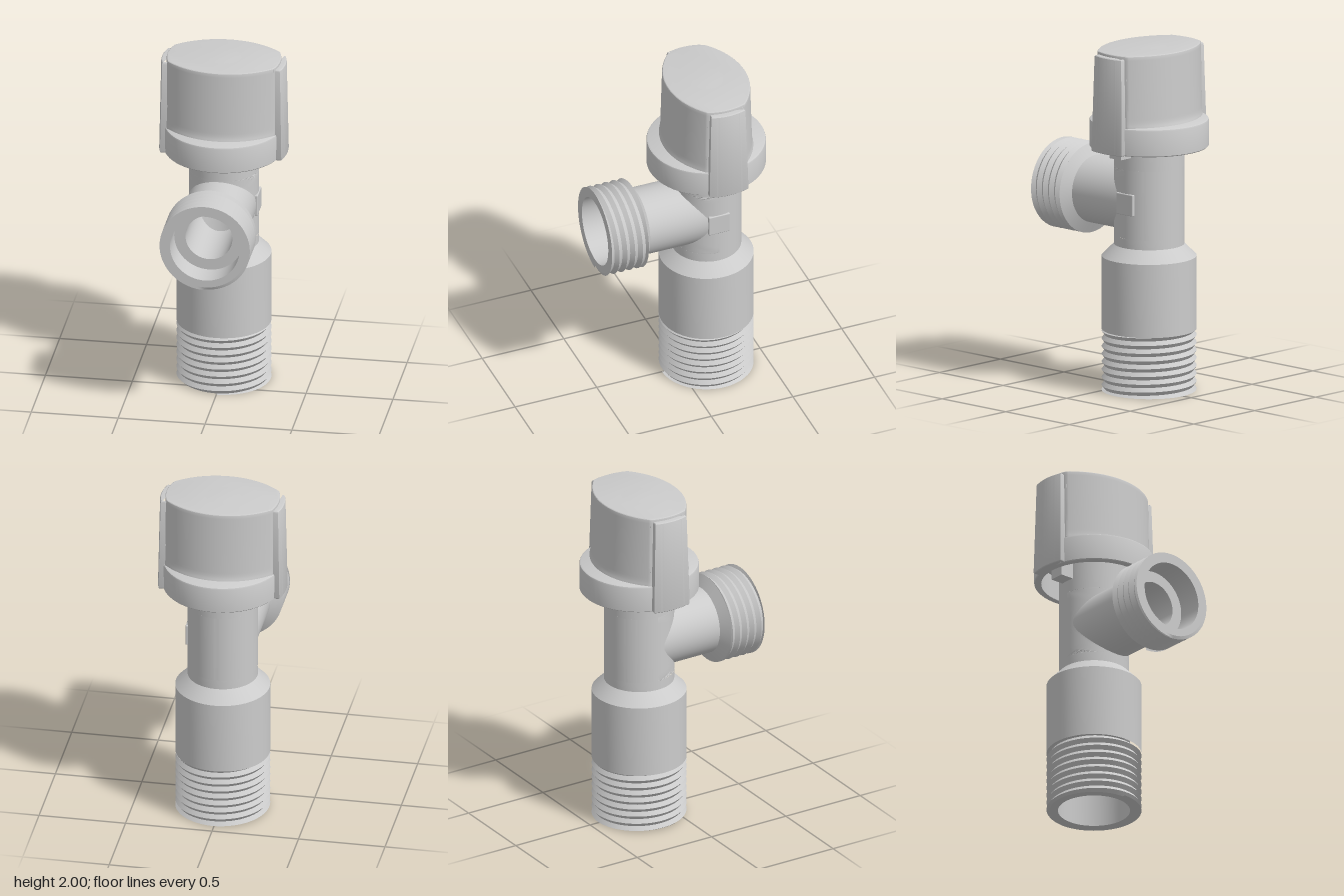
import * as THREE from 'three';
import { toCreasedNormals } from 'three/addons/utils/BufferGeometryUtils.js';
import { ParametricGeometry } from 'three/addons/geometries/ParametricGeometry.js';
import { RoundedBoxGeometry } from 'three/addons/geometries/RoundedBoxGeometry.js';

const AXIS_Z = -0.17;   // vertical axis of the valve
const PORT_Y = 1.105;   // height of the side outlet
const HALF = 0.2;       // half height of the body zone around the outlet
const SEG = 64;
const material = new THREE.MeshStandardMaterial({ color: 0xcccccc });

function add(parent, name, geometry, crease = 0.5) {
  const mesh = new THREE.Mesh(crease ? toCreasedNormals(geometry, crease) : geometry, material);
  mesh.name = name;
  parent.add(mesh);
  return mesh;
}

const lathe = (points, start = 0, length = Math.PI * 2) =>
  new THREE.LatheGeometry(points.map(([r, y]) => new THREE.Vector2(r, y)), SEG, start, length);

// Right-handed V thread from y0 to y1, cut off flat at both ends
function thread(root, crest, y0, y1, pitch) {
  const rows = 2 * (Math.ceil((y1 - y0) / pitch) + 1);
  return new ParametricGeometry((u, v, p) => {
    const k = Math.round(v * rows);
    const a = u * Math.PI * 2;
    const r = k % 2 ? crest : root;
    const y = y0 + (k / 2 - 1 + u) * pitch;
    p.set(r * Math.sin(a), THREE.MathUtils.clamp(y, y0, y1), r * Math.cos(a));
  }, SEG, rows);
}

// Front half of a cylinder wall with a round hole of radius hole
function piercedWall(radius, hole, inward) {
  return new ParametricGeometry((u, v, p) => {
    const t = (inward ? -v : v) * Math.PI * 2;
    const c = Math.cos(t), s = Math.sin(t);
    const k = 1 / Math.max(Math.abs(c), Math.abs(s));
    const a = THREE.MathUtils.lerp(Math.asin(hole * c / radius), k * c * Math.PI / 2, u);
    const y = THREE.MathUtils.lerp(hole * s, k * s * HALF, u);
    p.set(radius * Math.sin(a), PORT_Y + y, radius * Math.cos(a));
  }, 10, SEG);
}

// Moves the low end of a pipe onto the curved wall it meets
function saddle(geometry, radius) {
  const pos = geometry.attributes.position;
  for (let i = 0; i < pos.count; i++) {
    if (pos.getY(i) < -0.5) {
      pos.setY(i, AXIS_Z + Math.sqrt(radius ** 2 - pos.getX(i) ** 2));
    }
  }
  return geometry;
}

// Upright bevelled prism whose vertices are scaled by rule(y) -> [sx, sz]
function prism(shape, y0, y1, bevel, steps, rule) {
  const g = new THREE.ExtrudeGeometry(shape, {
    depth: y1 - y0 - 2 * bevel, steps, curveSegments: 28,
    bevelThickness: bevel, bevelSize: bevel, bevelOffset: -bevel, bevelSegments: 3,
  });
  g.rotateX(-Math.PI / 2).translate(0, y0 + bevel, 0);
  const pos = g.attributes.position;
  for (let i = 0; i < pos.count; i++) {
    const [sx, sz] = rule(pos.getY(i));
    pos.setX(i, pos.getX(i) * sx);
    pos.setZ(i, pos.getZ(i) * sz);
  }
  return g;
}

function makeBody() {
  const body = new THREE.Group();
  body.name = 'body';
  const low = PORT_Y - HALF, high = PORT_Y + HALF;
  add(body, 'lowerBody', lathe([[0.27, 0.355], [0.27, 0.78], [0.2, 0.85], [0.2, low]]));
  add(body, 'inletBore', lathe([[0.15, low], [0.15, 0.75], [0.205, 0.75], [0.205, 0], [0.253, 0]]));
  add(body, 'inletThread', thread(0.253, 0.27, 0, 0.355, 0.045));
  add(body, 'neck', lathe([[0.2, high], [0.2, 1.57]]));
  add(body, 'chamberTop', lathe([[0, 1.4], [0.15, 1.4], [0.15, high]]));
  // Chamber walls around the outlet
  add(body, 'backWall', lathe([[0.2, low], [0.2, high]], Math.PI / 2, Math.PI));
  add(body, 'backInnerWall', lathe([[0.15, high], [0.15, low]], Math.PI / 2, Math.PI));
  add(body, 'frontWall', piercedWall(0.2, 0.195, false));
  add(body, 'frontInnerWall', piercedWall(0.15, 0.135, true));
  const plate = add(body, 'sidePlate', new RoundedBoxGeometry(0.03, 0.125, 0.13, 2, 0.006), 0);
  plate.position.set(0.19, PORT_Y, 0);
  // Stop lugs under the handle
  for (const side of [1, -1]) {
    const lug = add(body, 'stopLug', new THREE.BoxGeometry(0.1, 0.18, 0.09));
    lug.position.set(side * 0.23, 1.47, 0);
  }
  return body;
}

function makeOutlet() {
  const outlet = new THREE.Group();
  outlet.name = 'outlet';
  add(outlet, 'outletPipe', saddle(lathe([[0.195, -1], [0.195, 0.25], [0.26, 0.285]]), 0.2));
  add(outlet, 'outletThread', thread(0.243, 0.26, 0.285, 0.51, 0.048));
  add(outlet, 'outletBore', saddle(lathe([
    [0.243, 0.51], [0.2, 0.51], [0.2, 0.36], [0.135, 0.36], [0.135, -1],
  ]), 0.15));
  outlet.rotation.x = Math.PI / 2;
  outlet.position.y = PORT_Y;
  return outlet;
}

function makeHandle() {
  const handle = new THREE.Group();
  handle.name = 'handle';
  add(handle, 'skirt', lathe([
    [0, 1.56], [0.3, 1.56], [0.3, 1.42], [0.335, 1.42], [0.34, 1.425],
    [0.34, 1.568], [0.337, 1.576], [0.329, 1.58], [0, 1.58],
  ]));

  // Lens-shaped grip, flaring slightly towards the skirt
  const end = 0.36, arc = 0.82;
  const lens = new THREE.Shape();
  lens.absarc(0, 0, 0.326, -end, end, false);
  lens.absarc(0, -0.212, 0.447, arc, Math.PI - arc, false);
  lens.absarc(0, 0, 0.326, Math.PI - end, Math.PI + end, false);
  lens.absarc(0, 0.212, 0.447, Math.PI + arc, 2 * Math.PI - arc, false);
  add(handle, 'grip', prism(lens, 1.565, 1.997, 0.008, 24, (y) => {
    const t = (2 - y) / 0.42;
    const flare = 0.06 * Math.max(0, 1 - (y - 1.565) / 0.05) ** 2;
    return [1 + 0.01 * t, 1 + 0.06 * t + flare];
  }));
  const dome = add(handle, 'topDome', lathe([[0.1, 0], [0.07, 0.0015], [0.035, 0.0027], [0, 0.003]]));
  dome.position.y = 1.997;

  // Curved finger pads on both ends of the grip
  const wing = new THREE.Shape();
  wing.absarc(0, 0, 0.368, -0.32, 0.32, false);
  wing.absarc(0, 0, 0.305, 0.37, -0.37, true);
  wing.closePath();
  for (const side of [0, Math.PI]) {
    const pad = add(handle, 'fingerPad', prism(wing, 1.42, 1.98, 0.01, 1, (y) => {
      const t = (y - 1.42) / 0.56;
      return [1 - 0.03 * t, 1.03 - 0.13 * t];
    }));
    pad.rotation.y = side;
  }
  return handle;
}

export function createModel() {
  const model = new THREE.Group();
  model.name = 'angleValve';
  const body = makeBody();
  const handle = makeHandle();
  body.position.z = handle.position.z = AXIS_Z;
  model.add(body, handle, makeOutlet());
  return model;
}
